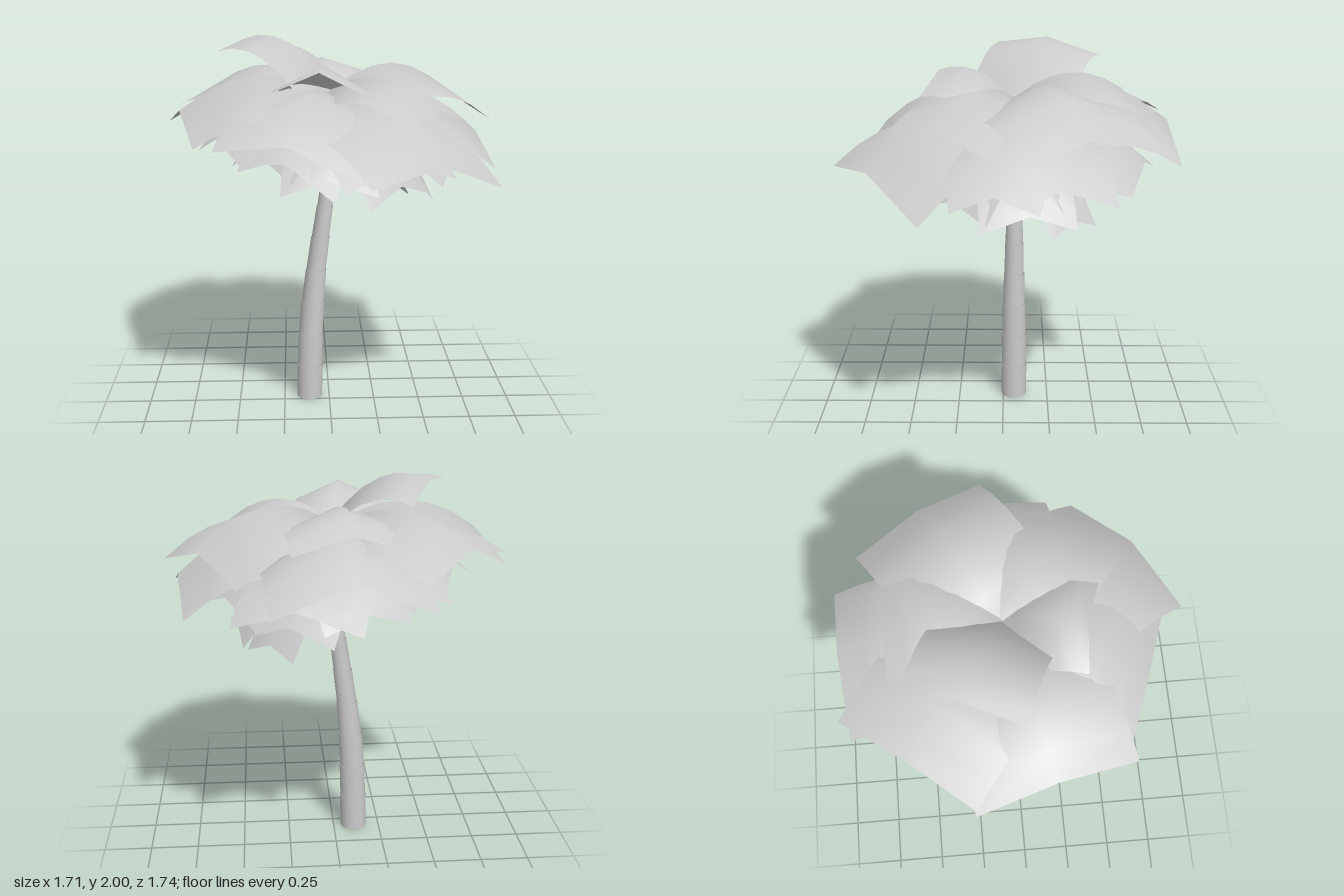
import * as THREE from 'three';

const CROWN = { x: 0.02, z: -0.06 };
const leafMaterial = new THREE.MeshStandardMaterial({ color: 0xcccccc, side: THREE.DoubleSide });
const barkMaterial = new THREE.MeshStandardMaterial({ color: 0xcccccc, side: THREE.DoubleSide });

// Arched rectangular leaf sheet from the crown to the middle of its outer edge;
// roll lowers one side, kink moves the rib's end outward
function makeFrond([tipX, tipZ, halfWidth, baseY, bendY, tipY, drop, roll = 0, kink = 0]) {
  const dir = new THREE.Vector2(tipX - CROWN.x, tipZ - CROWN.z);
  const reach = dir.length();
  dir.normalize();
  const geometry = new THREE.PlaneGeometry(2, 1, 2, 6);
  const pos = geometry.attributes.position;
  for (let i = 0; i < pos.count; i++) {
    const v = pos.getX(i);
    const u = 0.5 - pos.getY(i);
    const out = u * (reach + kink * (1 - Math.abs(v)));
    const side = halfWidth * v;
    const arch = baseY * (1 - u) ** 2 + 2 * bendY * u * (1 - u) + tipY * u * u;
    const y = arch - drop * v * v * (1.7 - 0.7 * u) - roll * v * u;
    pos.setXYZ(i, CROWN.x + dir.x * out + dir.y * side, y, CROWN.z + dir.y * out - dir.x * side);
  }
  geometry.computeVertexNormals();
  return new THREE.Mesh(geometry, leafMaterial);
}

function addLayer(parent, name, list) {
  const layer = new THREE.Group();
  layer.name = name;
  list.forEach((f, i) => {
    const frond = makeFrond(f);
    frond.name = `${name}Frond${i + 1}`;
    layer.add(frond);
  });
  parent.add(layer);
}

// Evenly spread drooping leaves; slope lowers the ring toward +x
function ring(count, startAngle, reach, halfWidth, baseY, bendY, tipY, drop, slope) {
  return Array.from({ length: count }, (_, i) => {
    const a = startAngle + (i / count) * Math.PI * 2;
    const r = reach * (1 + 0.07 * Math.sin(i * 2.4));
    const lean = -slope * Math.cos(a + 0.1) * r;
    return [CROWN.x + Math.cos(a) * r, CROWN.z + Math.sin(a) * r, halfWidth,
      baseY, bendY + lean * 0.5, tipY + lean, drop];
  });
}

// Open trunk section between two stations [x, y], with level ends that follow the lean
function makeSection(a, b, rBottom, rTop) {
  const h = b[1] - a[1];
  const geometry = new THREE.CylinderGeometry(rTop, rBottom, h, 20, 1, true);
  const pos = geometry.attributes.position;
  for (let i = 0; i < pos.count; i++) {
    const t = pos.getY(i) / h + 0.5;
    pos.setXYZ(i, pos.getX(i) + a[0] + (b[0] - a[0]) * t, a[1] + h * t, pos.getZ(i) + CROWN.z);
  }
  return new THREE.Mesh(geometry, barkMaterial);
}

export function createModel() {
  const palm = new THREE.Group();
  palm.name = 'palmTree';

  // Leaning trunk of stacked tapering sections, each with a slight lip at its top
  const trunk = new THREE.Group();
  trunk.name = 'trunk';
  const stations = [[-0.11, 0], [-0.107, 0.19], [-0.102, 0.375], [-0.09, 0.565], [-0.071, 0.75],
    [-0.047, 0.935], [-0.022, 1.11], [0, 1.3], [0.015, 1.5], [0.02, 1.68]];
  const radii = [0.07, 0.071, 0.068, 0.063, 0.055, 0.049, 0.043, 0.035, 0.028, 0.02];
  for (let i = 0; i < stations.length - 1; i++) {
    const section = makeSection(stations[i], stations[i + 1], radii[i] - (i ? 0.002 : 0), radii[i + 1] + 0.001);
    section.name = `trunkSection${i + 1}`;
    trunk.add(section);
  }
  palm.add(trunk);

  // Crown leaves: tip x, tip z, half width, base y, bend y, tip y, side drop, roll, kink
  const crown = new THREE.Group();
  crown.name = 'crown';
  addLayer(crown, 'top', [
    [-0.07, 0.365, 0.23, 1.73, 1.95, 1.87, 0.1, 0, -0.035],
    [-0.45, -0.27, 0.29, 1.73, 2.09, 1.975, 0.055, -0.02],
    [-0.05, -0.64, 0.29, 1.74, 1.97, 1.78, 0.08, 0, -0.03],
    [0.67, -0.43, 0.37, 1.73, 2.0, 1.67, 0.1],
    [0.53, 0.31, 0.31, 1.74, 1.93, 1.68, 0.075, 0.025],
  ]);
  addLayer(crown, 'outer', [
    [-0.76, 0.14, 0.4, 1.7, 1.96, 1.66, 0.12],
    [-0.61, -0.55, 0.39, 1.7, 1.97, 1.7, 0.1],
    [-0.04, -0.85, 0.39, 1.68, 1.94, 1.62, 0.16],
    [-0.23, 0.63, 0.37, 1.68, 1.91, 1.57, 0.1, 0.05],
    [0.5, 0.62, 0.42, 1.68, 1.85, 1.47, 0.11, 0.055, 0.03],
    [0.79, -0.15, 0.39, 1.68, 1.88, 1.5, 0.13],
  ]);
  addLayer(crown, 'middle', ring(8, 0.3, 0.64, 0.32, 1.64, 1.79, 1.48, 0.1, 0.1));
  addLayer(crown, 'lower', [
    ...ring(7, 0.75, 0.46, 0.24, 1.56, 1.65, 1.34, 0.08, 0.18),
    [0.34, -0.36, 0.16, 1.5, 1.58, 1.18, 0.06],
    [-0.23, 0.32, 0.28, 1.56, 1.68, 1.42, 0.1, 0.06],
  ]);
  palm.add(crown);
  return palm;
}
